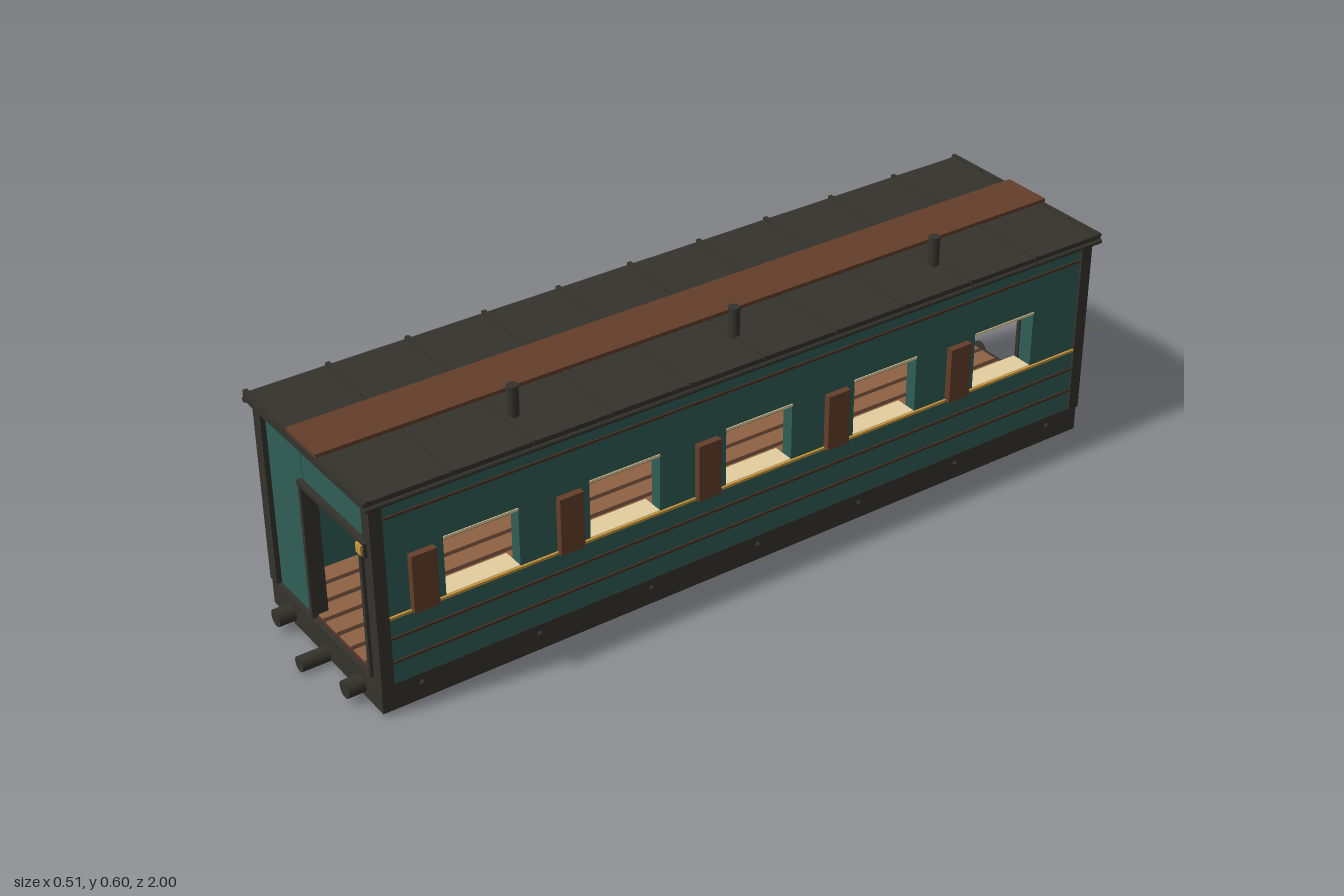
import * as THREE from 'three';

const mat = (name, color) => {
  const m = new THREE.MeshStandardMaterial({ color });
  m.name = name;
  return m;
};

export function createModel() {
  const teal = mat('teal paint', 0x2f5d55);
  const iron = mat('dark iron', 0x35332c);
  const wood = mat('dark wood', 0x633f2a);
  const plank = mat('floor wood', 0x8f6244);
  const line = mat('brown lining', 0x4a3226);
  const brass = mat('brass', 0xc8963c);
  const cream = mat('cream trim', 0xe3cfa0);

  const model = new THREE.Group();
  const add = (name, geo, m, x = 0, y = 0, z = 0, parent = model) => {
    const mesh = new THREE.Mesh(geo, m);
    mesh.name = name;
    mesh.position.set(x, y, z);
    parent.add(mesh);
    return mesh;
  };
  // box given by its limits on each axis
  const box = (name, m, x0, x1, y0, y1, z0, z1, parent) =>
    add(name, new THREE.BoxGeometry(x1 - x0, y1 - y0, z1 - z0), m,
      (x0 + x1) / 2, (y0 + y1) / 2, (z0 + z1) / 2, parent);
  const rodZ = (name, m, r, len, x, y, z, parent) =>
    add(name, new THREE.CylinderGeometry(r, r, len, 20).rotateX(Math.PI / 2), m, x, y, z, parent);

  const windows = [-2, -1, 0, 1, 2].map(i => i * 0.344);
  const W = 0.087, SILL = 0.235, HEAD = 0.377;

  // underframe and lengthwise floor planks
  box('underframe', iron, -0.235, 0.235, 0.01, 0.073, -0.935, 0.935);
  box('floorBase', line, -0.205, 0.205, 0.073, 0.075, -0.925, 0.925);
  for (let i = 0; i < 7; i++) {
    const x = (i - 3) * 0.0586;
    box('floorPlank', plank, x - 0.023, x + 0.023, 0.073, 0.079, -0.92, 0.92);
  }

  // side wall outline with five window holes
  const wall = new THREE.Shape([[-0.92, 0.073], [0.92, 0.073], [0.92, 0.513], [-0.92, 0.513]]
    .map(p => new THREE.Vector2(...p)));
  for (const z of windows) {
    wall.holes.push(new THREE.Path([[z - W, SILL], [z - W, HEAD], [z + W, HEAD], [z + W, SILL]]
      .map(p => new THREE.Vector2(...p))));
  }
  const wallGeo = new THREE.ExtrudeGeometry(wall, { depth: 0.03, bevelEnabled: false })
    .rotateY(Math.PI / 2);

  for (const s of [-1, 1]) {
    const side = new THREE.Group();
    side.name = s > 0 ? 'leftSide' : 'rightSide';
    model.add(side);
    const sbox = (name, m, x0, x1, ...rest) =>
      box(name, m, Math.min(s * x0, s * x1), Math.max(s * x0, s * x1), ...rest, side);

    add('sideWall', wallGeo, teal, s > 0 ? 0.204 : -0.234, 0, 0, side);

    // lining boards and brass belt
    for (const y of [0.125, 0.183, 0.468]) {
      sbox('liningStrip', line, 0.233, 0.237, y - 0.003, y + 0.003, -0.91, 0.91);
    }
    sbox('brassBelt', brass, 0.233, 0.239, 0.231, 0.237, -0.91, 0.91);

    for (const z of windows) {
      sbox('windowSill', cream, 0.18, 0.233, 0.229, 0.238, z - W, z + W);
      sbox('windowHead', cream, 0.2, 0.236, 0.372, 0.378, z - W, z + W);
      sbox('shutter', wood, 0.234, 0.25, 0.233, 0.369, z + 0.11, z + 0.168);
    }

    // frame bolts
    for (let i = -3; i <= 3; i++) {
      add('frameBolt', new THREE.SphereGeometry(0.007, 10, 8), iron, s * 0.234, 0.05, i * 0.281, side);
    }
    for (const e of [-1, 1]) {
      box('cornerPost', iron, s * 0.2245 - 0.0155, s * 0.2245 + 0.0155, 0.073, 0.513,
        e * 0.922 - 0.0145, e * 0.922 + 0.0145, side);
    }
    // rolled roof edge
    rodZ('eaveRail', iron, 0.006, 1.9, s * 0.25, 0.513, 0, side);
  }

  // both ends: the rear one is the front turned half round, with its lamp on the other hand
  for (const e of [1, -1]) {
    const end = new THREE.Group();
    end.name = e > 0 ? 'frontEnd' : 'rearEnd';
    if (e < 0) end.rotation.y = Math.PI;
    model.add(end);
    box('endPanelWide', teal, -0.215, -0.06, 0.073, 0.513, 0.9, 0.925, end);
    box('endPanelNarrow', teal, 0.185, 0.215, 0.073, 0.513, 0.9, 0.925, end);
    box('endPanelTop', teal, -0.06, 0.185, 0.405, 0.513, 0.9, 0.924, end);
    box('doorPost', iron, -0.066, -0.055, 0.073, 0.405, 0.897, 0.934, end);
    box('doorPost', iron, 0.179, 0.19, 0.073, 0.405, 0.897, 0.934, end);
    box('doorHeader', iron, -0.067, 0.191, 0.4, 0.412, 0.897, 0.936, end);

    // end lamp
    const lx = e > 0 ? 0.21 : -0.0875;
    box('lampCase', iron, lx - 0.014, lx + 0.014, 0.386, 0.42, 0.922, 0.944, end);
    box('lampGlass', brass, lx - 0.01, lx + 0.01, 0.393, 0.415, 0.943, 0.949, end);

    // buffers and coupling
    for (const x of [-0.15, 0.148]) rodZ('buffer', iron, 0.02, 0.045, x, 0.035, 0.952, end);
    rodZ('coupling', iron, 0.0175, 0.08, 0, 0.0185, 0.96, end);
  }

  // roof with cross ribs and a raised walkway
  box('roof', iron, -0.25, 0.25, 0.513, 0.53, -0.95, 0.95);
  for (let i = -5; i <= 5; i++) {
    box('roofRib', iron, -0.254, 0.254, 0.526, 0.5345, i * 0.1885 - 0.005, i * 0.1885 + 0.005);
  }
  box('roofWalkway', wood, -0.062, 0.062, 0.5345, 0.543, -0.95, 0.95);

  for (const z of [-0.547, 0, 0.547]) {
    add('chimney', new THREE.CylinderGeometry(0.013, 0.013, 0.075, 20), iron, 0.14, 0.5625, z);
  }

  // hanging lamps inside
  for (const z of [-0.48, 0, 0.48]) {
    add('ceilingLampStem', new THREE.CylinderGeometry(0.004, 0.004, 0.03, 8), iron, 0, 0.5, z);
    add('ceilingLamp', new THREE.SphereGeometry(0.018, 16, 12), brass, 0, 0.475, z);
  }
  return model;
}
